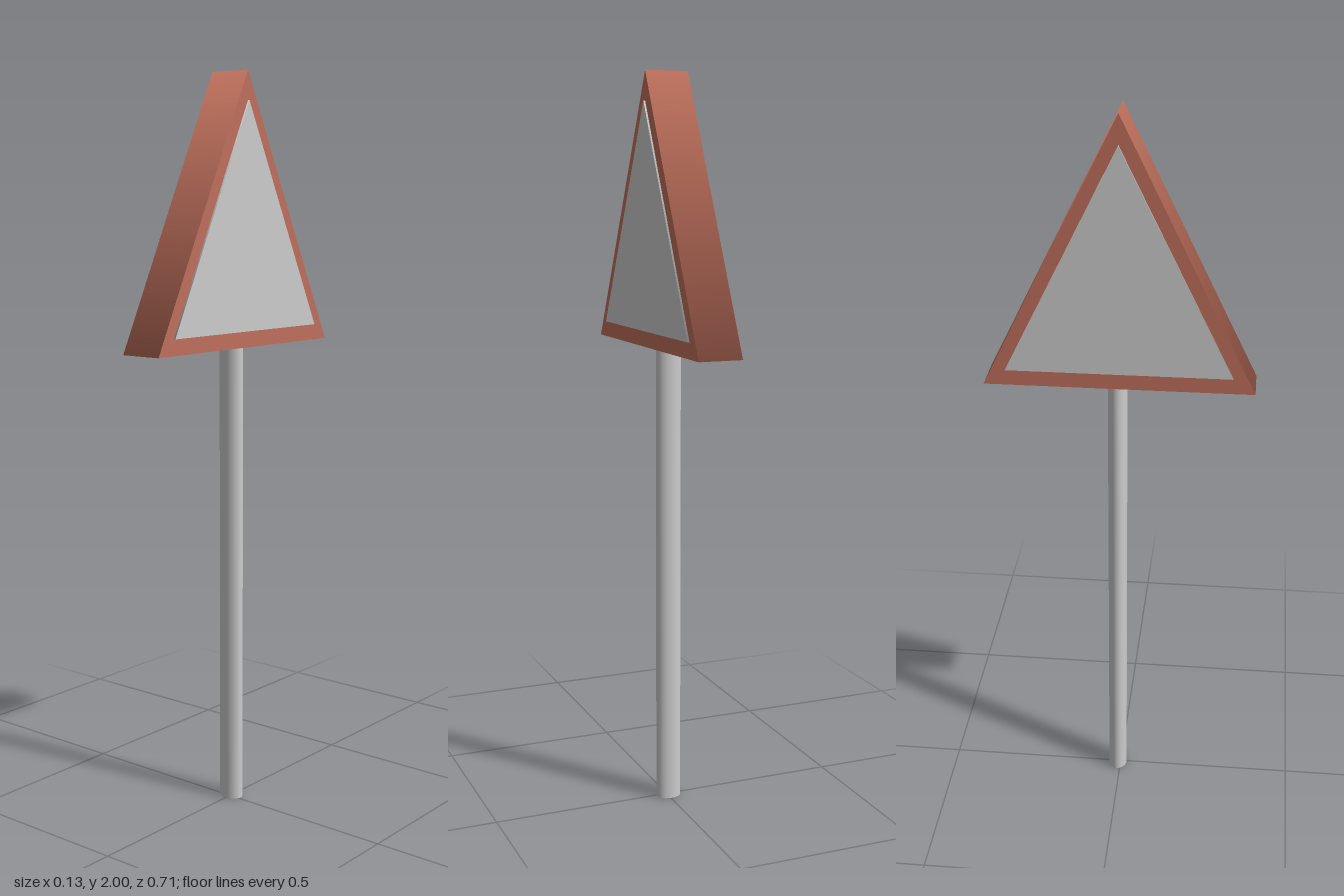
import * as THREE from 'three';

const grey = new THREE.MeshStandardMaterial({ color: 0xcccccc });
const red = new THREE.MeshStandardMaterial({ color: 0xbf705c });

// Upright triangular prism: axis along x, apex up, softly shaded around its sides
function triangle(name, width, height, depth, bottom, material) {
  const geometry = new THREE.CylinderGeometry(1, 1, depth, 3);
  geometry.rotateX(-Math.PI / 2).rotateY(-Math.PI / 2);
  geometry.scale(1, height / 1.5, width / Math.sqrt(3));
  const mesh = new THREE.Mesh(geometry, material);
  mesh.name = name;
  mesh.position.y = bottom + height / 3;
  return mesh;
}

export function createModel() {
  const model = new THREE.Group();
  model.name = 'warningSign';

  // Slightly oval pole, its top hidden inside the sign
  const poleGeometry = new THREE.CylinderGeometry(1, 1, 1.32, 32);
  poleGeometry.scale(0.035, 1, 0.026);
  const pole = new THREE.Mesh(poleGeometry, grey);
  pole.name = 'pole';
  pole.position.set(-0.002, 0.66, -0.008);
  model.add(pole);

  // Red border block with a thinner plate showing on both faces
  model.add(triangle('signBorder', 0.71, 0.72, 0.12, 1.28, red));
  model.add(triangle('signPlate', 0.594, 0.6, 0.13, 1.323, grey));

  return model;
}
